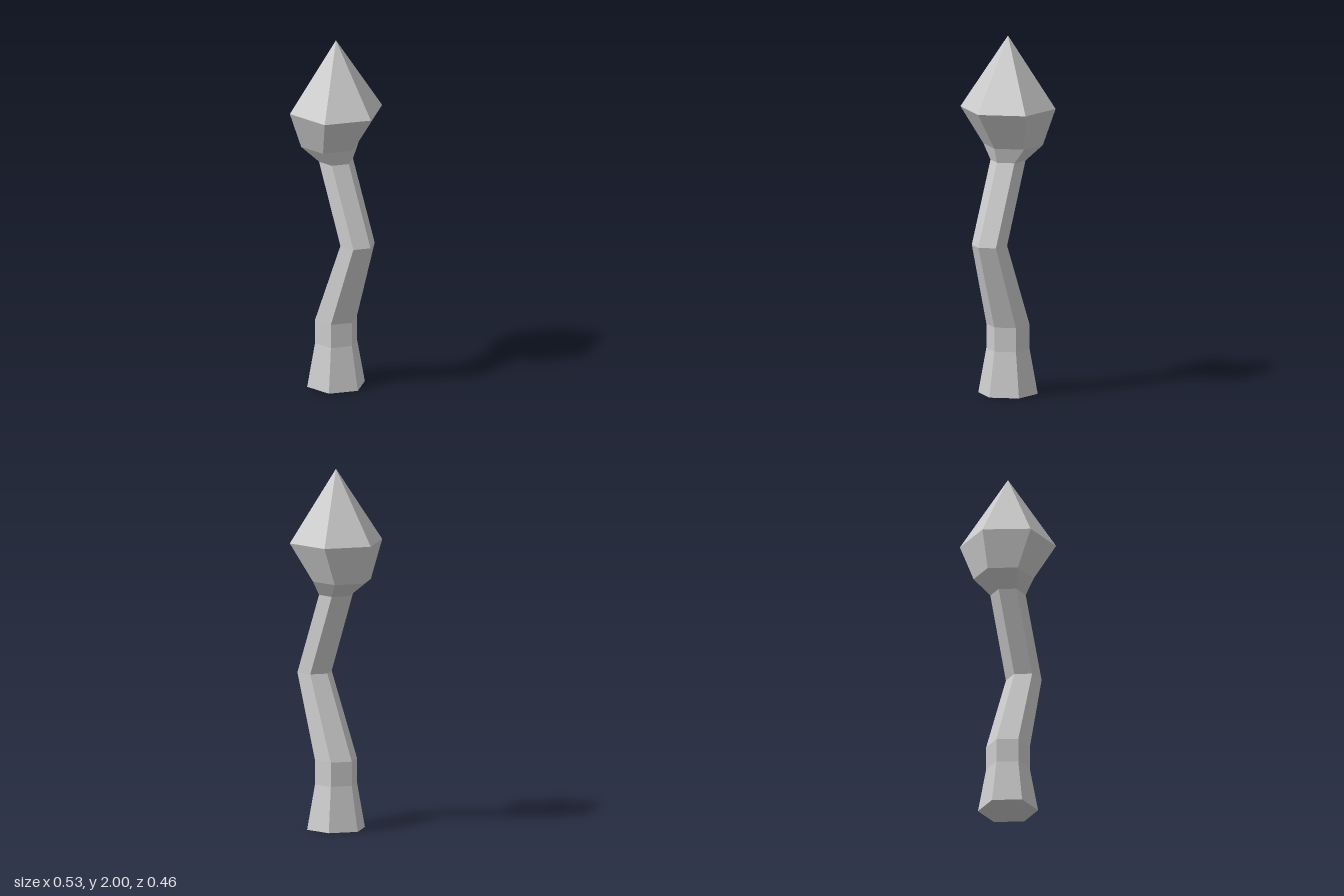
import * as THREE from 'three';

const SIDES = 6;

// Faceted skin over hexagonal rings, each given as [y, centre x, radius]
function loft(rings) {
  const positions = [];
  const corner = ([y, cx, r], k) => {
    const a = (k / SIDES) * Math.PI * 2;
    return [cx + r * Math.cos(a), y, r * Math.sin(a)];
  };
  for (let i = 0; i < rings.length - 1; i++) {
    const [low, high] = [rings[i], rings[i + 1]];
    for (let k = 0; k < SIDES; k++) {
      const a = corner(low, k), b = corner(low, k + 1);
      const c = corner(high, k), d = corner(high, k + 1);
      // a ring of radius 0 closes to a point, so one triangle is enough there
      if (low[2] > 0) positions.push(...a, ...c, ...b);
      if (high[2] > 0) positions.push(...b, ...c, ...d);
    }
  }
  const geometry = new THREE.BufferGeometry();
  geometry.setAttribute('position', new THREE.Float32BufferAttribute(positions, 3));
  geometry.computeVertexNormals();
  return geometry;
}

export function createModel() {
  const group = new THREE.Group();
  group.name = 'crookedPost';
  const material = new THREE.MeshStandardMaterial({ color: 0xcccccc, flatShading: true });
  const add = (name, rings) => {
    const mesh = new THREE.Mesh(loft(rings), material);
    mesh.name = name;
    group.add(mesh);
  };

  // Flared foot with a closed underside
  add('foot', [[0, 0, 0], [0, 0, 0.165], [0.25, 0, 0.12], [0.385, 0, 0.12]]);

  // Stem bending out to +x and back
  add('stem', [[0.385, 0, 0.12], [0.853, 0.163, 0.098], [1.303, 0, 0.097]]);

  // Lopsided bulb rising to a point
  add('head', [[1.303, 0, 0.097], [1.385, -0.045, 0.165], [1.597, 0, 0.264], [2, 0, 0]]);

  return group;
}
